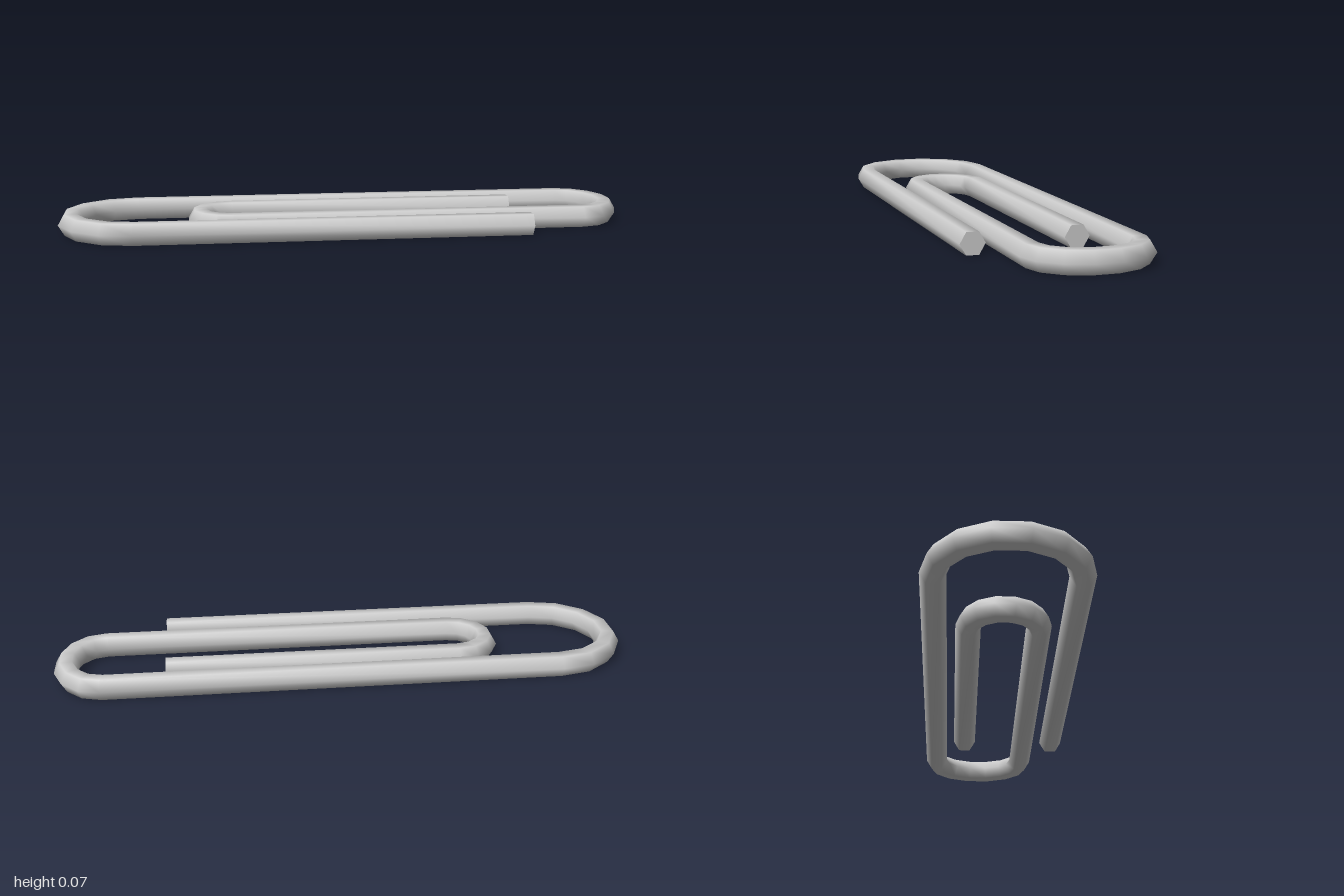
import * as THREE from 'three';

const R = 0.042;                      // wire radius
const SIDES = 6;                      // hexagonal wire
const Y = R * Math.sin(Math.PI / 3);  // centreline height

// Half-elliptic bend: s = -1 bulges to -x, s = +1 bulges to +x
function bend(cx, cz, a, b, s, steps = 7) {
  return Array.from({ length: steps + 1 }, (_, i) => {
    const t = (Math.PI * i) / steps;
    return new THREE.Vector2(cx + s * a * Math.sin(t), cz - s * b * Math.cos(t));
  });
}

// Hexagonal ring at path point i, mitred between its two neighbours
function ring(path, i) {
  const p = path[i];
  const d0 = p.clone().sub(path[Math.max(i - 1, 0)]).normalize();
  const d1 = path[Math.min(i + 1, path.length - 1)].clone().sub(p).normalize();
  const t = d0.clone().add(d1).normalize();
  const miter = 1 / Math.max(t.dot(d1), t.dot(d0));
  return Array.from({ length: SIDES }, (_, j) => {
    const a = (j / SIDES) * Math.PI * 2;
    const w = R * miter * Math.cos(a);
    return [p.x - t.y * w, Y + R * Math.sin(a), p.y + t.x * w];
  });
}

function build(positions, index) {
  const g = new THREE.BufferGeometry();
  g.setAttribute('position', new THREE.Float32BufferAttribute(positions.flat(), 3));
  g.setIndex(index);
  g.computeVertexNormals();
  return g;
}

function wireGeometry(path) {
  const index = [];
  for (let i = 0; i < path.length - 1; i++) {
    for (let j = 0; j < SIDES; j++) {
      const k = (j + 1) % SIDES;
      const a = i * SIDES + j, b = i * SIDES + k;
      const c = a + SIDES, d = b + SIDES;
      index.push(a, c, b, b, c, d);
    }
  }
  return build(path.flatMap((_, i) => ring(path, i)), index);
}

function capGeometry(path, i) {
  const index = [];
  for (let j = 1; j < SIDES - 1; j++) index.push(...(i === 0 ? [0, j, j + 1] : [0, j + 1, j]));
  return build(ring(path, i), index);
}

export function createModel() {
  const group = new THREE.Group();
  group.name = 'paperClip';
  const material = new THREE.MeshStandardMaterial({ color: 0xcccccc });

  // Centreline in x and z: outer leg, large bend, right bend, inner bend, inner leg
  const path = [
    new THREE.Vector2(0.62, 0.228),
    ...bend(-0.737, 0, 0.227, 0.228, -1),
    ...bend(0.83, -0.056, 0.131, 0.172, 1),
    ...bend(-0.4, 0, 0.116, 0.116, -1),
    new THREE.Vector2(0.62, -0.116),
  ];

  const add = (name, geometry) => {
    const mesh = new THREE.Mesh(geometry, material);
    mesh.name = name;
    group.add(mesh);
  };
  add('wire', wireGeometry(path));
  add('outerEndCap', capGeometry(path, 0));
  add('innerEndCap', capGeometry(path, path.length - 1));
  return group;
}
